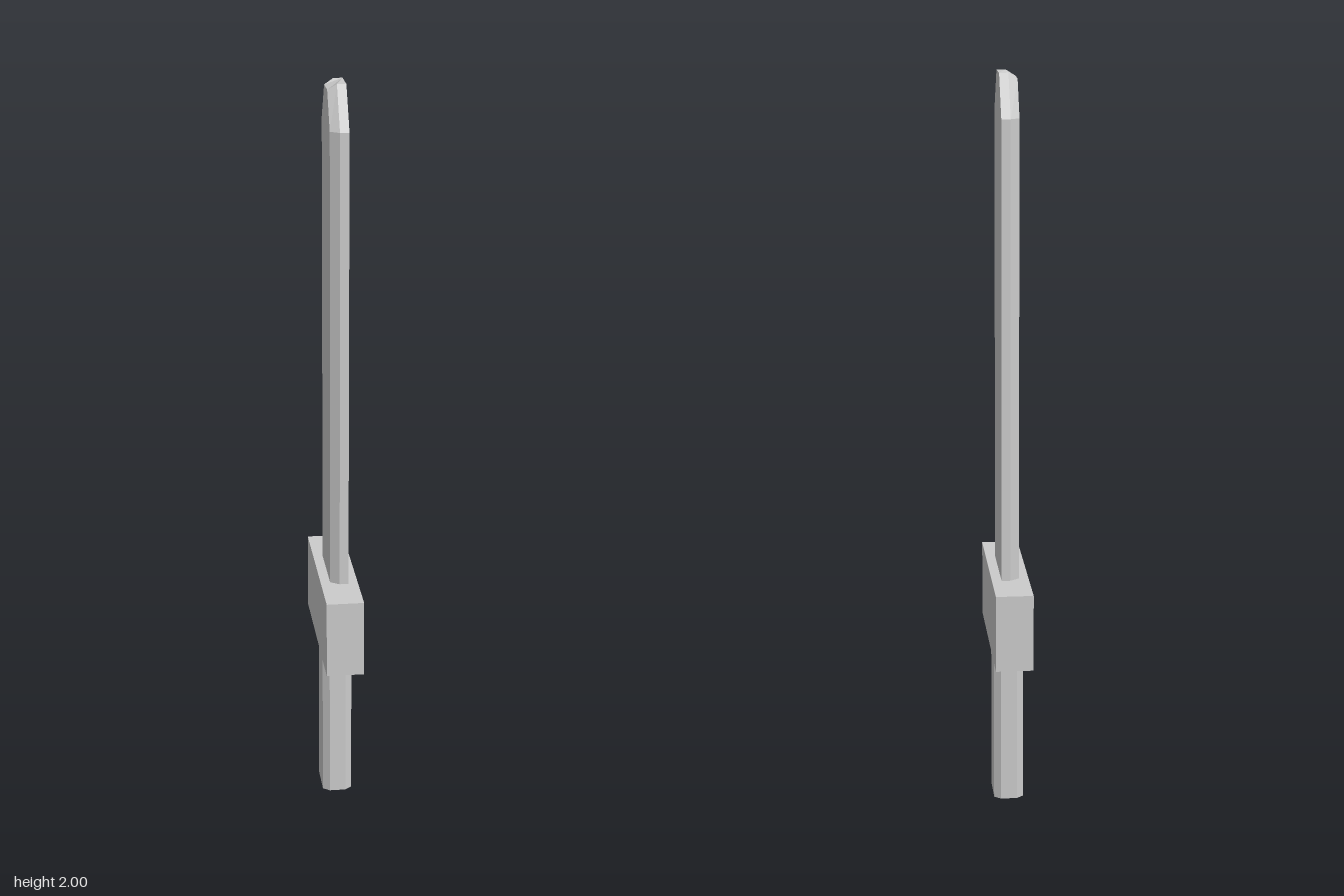
import * as THREE from 'three';

const material = new THREE.MeshStandardMaterial({ color: 0xcccccc, flatShading: true });

function addPart(group, name, geometry) {
  const mesh = new THREE.Mesh(geometry, material);
  mesh.name = name;
  group.add(mesh);
  return mesh;
}

// Solid joining stacked rings of [x, y, z] points, capped at both ends.
function loft(rings) {
  const pos = [];
  const tri = (a, b, c) => pos.push(...a, ...b, ...c);
  const n = rings[0].length;
  for (let r = 0; r < rings.length - 1; r++) {
    for (let i = 0; i < n; i++) {
      const j = (i + 1) % n;
      const [a, b, c, d] = [rings[r][i], rings[r][j], rings[r + 1][j], rings[r + 1][i]];
      tri(a, b, c);
      tri(a, c, d);
    }
  }
  const bottom = rings[0], top = rings[rings.length - 1];
  for (let i = 1; i < n - 1; i++) {
    tri(bottom[0], bottom[i + 1], bottom[i]);
    tri(top[0], top[i], top[i + 1]);
  }
  const geometry = new THREE.BufferGeometry();
  geometry.setAttribute('position', new THREE.Float32BufferAttribute(pos, 3));
  geometry.computeVertexNormals();
  return geometry;
}

// Blade section: square edges on the +x side, bevelled on the -x side.
function bladeRing(y, half, bevelHalf, bevelY = y) {
  const side = [[0.024, y, half], [0, y, half], [-0.024, bevelY, bevelHalf]];
  const mirrored = side.map(([x, h, z]) => [x, h, -z]);
  return [...mirrored, ...side.reverse()];
}

// Handle section: a flattened octagon.
function handleRing(y) {
  const quarter = [[0.04, 0.047], [0.022, 0.061]];
  const half = [...quarter, ...quarter.map(([x, z]) => [-x, z]).reverse()];
  const ring = [...half, ...half.map(([x, z]) => [-x, -z])];
  return ring.reverse().map(([x, z]) => [x, y, z]);
}

export function createModel() {
  const group = new THREE.Group();
  group.name = 'sword';

  // Blade with a blunt, tapered tip
  addPart(group, 'blade', loft([
    bladeRing(0.6, 0.106, 0.089),
    bladeRing(1.89, 0.106, 0.089),
    bladeRing(2, 0.04, 0.034, 1.985),
  ]));

  // Crossguard
  const guard = addPart(group, 'crossguard', new THREE.BoxGeometry(0.1, 0.21, 0.466));
  guard.position.y = 0.55;

  // Handle
  addPart(group, 'handle', loft([handleRing(0), handleRing(0.5)]));

  return group;
}
